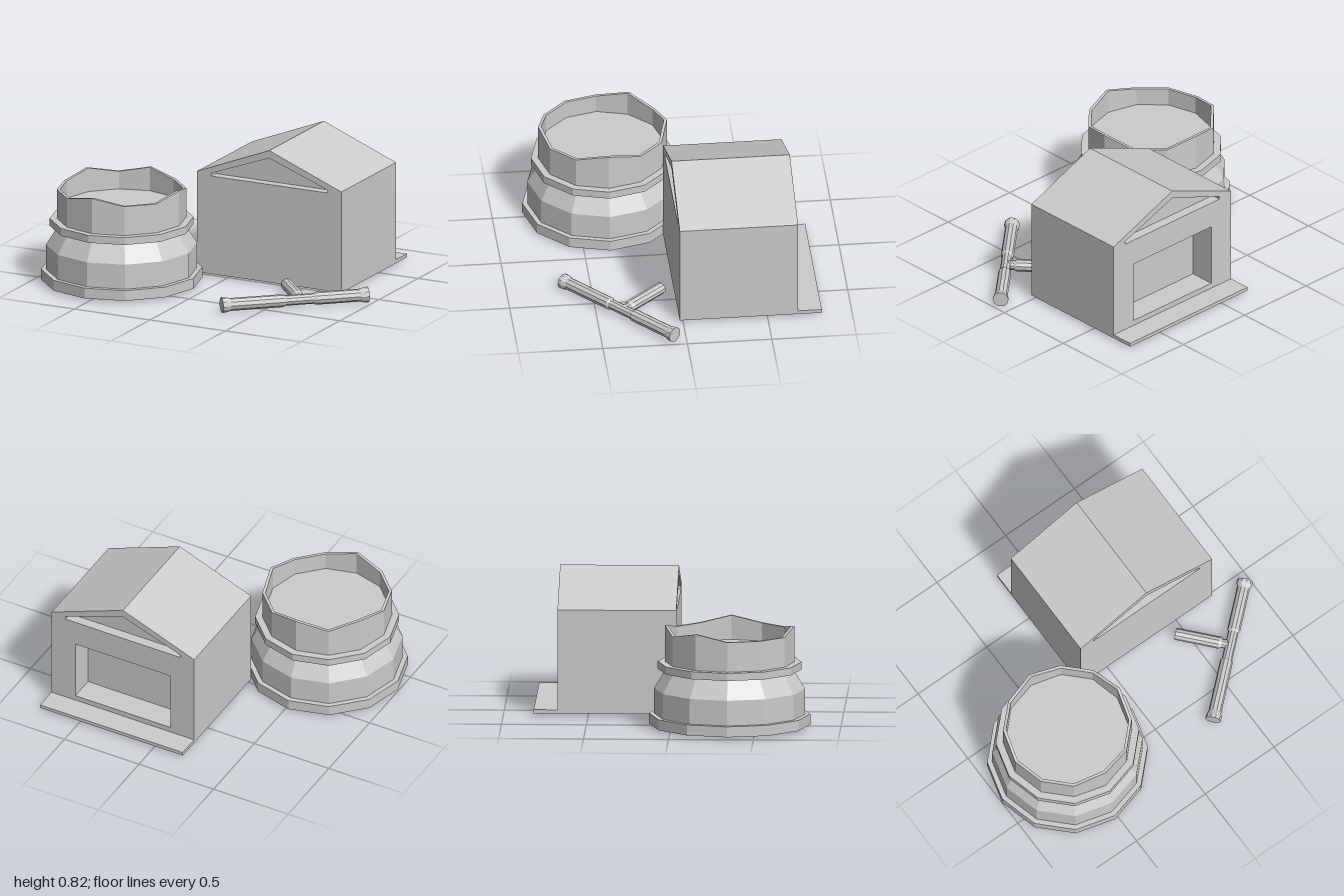
import * as THREE from 'three';

const material = new THREE.MeshStandardMaterial({ color: 0xcccccc, flatShading: true });
const V = (x, y) => new THREE.Vector2(x, y);

function addMesh(parent, name, geometry) {
  const mesh = new THREE.Mesh(geometry, material);
  mesh.name = name;
  parent.add(mesh);
  return mesh;
}

function lathe(profile, sides) {
  return new THREE.LatheGeometry(profile.map(([r, y]) => V(r, y)), sides);
}

// Twelve-sided stone tower with a broken, uneven rim
function buildTower() {
  const tower = new THREE.Group();
  tower.name = 'tower';
  const geometry = lathe([
    [0, 0.017], [0.475, 0.017], [0.475, 0.08], [0.445, 0.08], [0.445, 0.23],
    [0.375, 0.345], [0.424, 0.345], [0.424, 0.39], [0.381, 0.39], [0.381, 0.567],
    [0.363, 0.567], [0.363, 0.46], [0, 0.46],
  ], 12);
  const raised = [0, 3, 7, 9]; // rim corners that stand higher, in steps of 30 degrees
  const p = geometry.attributes.position;
  for (let i = 0; i < p.count; i++) {
    if (p.getY(i) < 0.56) continue;
    const step = Math.round(Math.atan2(p.getZ(i), p.getX(i)) / (Math.PI / 6) + 12) % 12;
    if (raised.includes(step)) p.setY(i, 0.605);
  }
  addMesh(tower, 'towerWall', geometry);
  tower.position.set(-0.527, 0, 0.345);
  return tower;
}

// Gabled house: layers along z, each with the recesses cut through it
function buildHouse() {
  const house = new THREE.Group();
  house.name = 'house';
  const w = 0.478, base = 0.017;
  const pediment = [V(-0.385, 0.617), V(0.385, 0.617), V(0.385, 0.635), V(0, 0.778), V(-0.385, 0.635)];
  const door = [V(-0.318, 0.072), V(0.318, 0.072), V(0.318, 0.455), V(-0.318, 0.455)];
  const layers = [
    ['backWall', -0.68, -0.62, [pediment, door]],
    ['doorSurround', -0.62, -0.525, [door]],
    ['body', -0.525, -0.04, []],
    ['frontWall', -0.04, 0.02, [pediment]],
  ];
  for (const [name, z0, z1, holes] of layers) {
    const shape = new THREE.Shape([V(-w, base), V(w, base), V(w, 0.635), V(0, 0.825), V(-w, 0.635)]);
    shape.holes = holes.map((points) => new THREE.Path(points));
    const geometry = new THREE.ExtrudeGeometry(shape, { depth: z1 - z0, bevelEnabled: false });
    addMesh(house, name, geometry.translate(0, 0, z0));
  }
  // Thin doorstep behind the house
  addMesh(house, 'doorstep', new THREE.BoxGeometry(2 * w, 0.022, 0.14)).position.set(0, base + 0.011, -0.75);
  house.position.x = 0.283;
  return house;
}

// T-shaped pipe lying on the ground
function buildPipe() {
  const pipe = new THREE.Group();
  pipe.name = 'teePipe';
  addMesh(pipe, 'crossPipe', lathe([
    [0, -0.48], [0.047, -0.48], [0.046, -0.46], [0.038, -0.43], [0.038, -0.105],
    [0.031, -0.095], [0.031, 0.08], [0.038, 0.09], [0.038, 0.36], [0.046, 0.39],
    [0.047, 0.41], [0, 0.41],
  ], 10).rotateZ(-Math.PI / 2));
  addMesh(pipe, 'branchPipe', lathe([
    [0.028, 0], [0.028, 0.05], [0.036, 0.065], [0.036, 0.33], [0, 0.33],
  ], 10).rotateX(-Math.PI / 2));
  pipe.rotation.y = Math.atan2(0.667, 0.745);
  pipe.position.set(0.658, 0.047, 0.344);
  return pipe;
}

export function createModel() {
  const model = new THREE.Group();
  model.name = 'towerHouseAndPipe';
  model.add(buildTower(), buildHouse(), buildPipe());
  return model;
}
